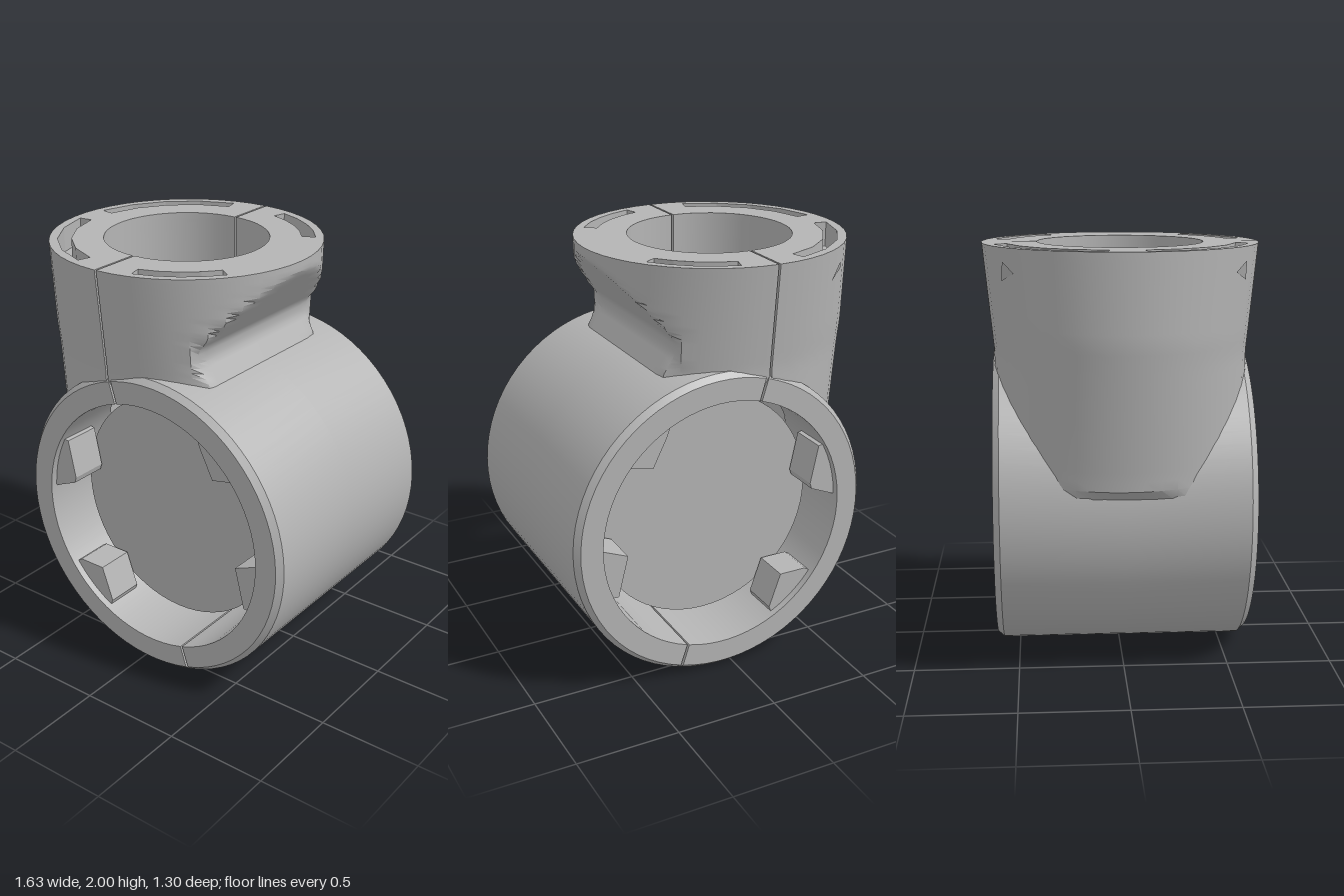
import * as THREE from 'three';
import { toCreasedNormals } from 'three/addons/utils/BufferGeometryUtils.js';

const CX = 0.055, CY = 0.757, R_OUT = 0.757, R_IN = 0.622; // horizontal sleeve
const SX = -0.172, BORE = 0.39, TOP = 2;                   // upright socket
const rad = THREE.MathUtils.degToRad, clamp = THREE.MathUtils.clamp;
const grey = new THREE.MeshStandardMaterial({ name: 'plainGrey', color: 0xb4b4b4, side: THREE.DoubleSide });

function mesh(name, geometry, parent) {
  const m = new THREE.Mesh(geometry, grey);
  m.name = name;
  parent.add(m);
  return m;
}

// Skin a list of equally long point rows
function loft(rows, crease = 35) {
  const n = rows[0].length, index = [];
  for (let i = 0; i < rows.length - 1; i++) {
    for (let j = 0; j < n - 1; j++) {
      const a = i * n + j, b = a + n;
      index.push(a, b, a + 1, b, b + 1, a + 1);
    }
  }
  const g = new THREE.BufferGeometry();
  g.setAttribute('position', new THREE.Float32BufferAttribute(rows.flat(2), 3));
  g.setIndex(index);
  return toCreasedNormals(g, rad(crease));
}

const steps = (from, to, n) => Array.from({ length: n + 1 }, (_, i) => from + (to - from) * i / n);
const sleeveY = (x, r) => CY + Math.sqrt(Math.max(0, r * r - (x - CX) ** 2));

// Cross-section of half the sleeve wall at one angle, leaving room for the bore
function sleeveSection(a, s) {
  const point = (r, z) => [CX + r * Math.cos(a), CY + r * Math.sin(a), s * z];
  const start = r => {
    const dx = CX + r * Math.cos(a) - SX;
    return Math.sin(a) > 0 ? Math.sqrt(Math.max(0, BORE * BORE - dx * dx)) : 0;
  };
  return [point(R_OUT, start(R_OUT)), point(R_OUT, 0.575), point(R_OUT - 0.025, 0.605),
    point(R_IN, 0.605), point(R_IN, start(R_IN))];
}

// Slanted undercut on the right of the socket
function undercut(y) {
  if (y > 1.64) return 0.23 + (y - 1.64) * 0.8;
  if (y > 1.58) return 0.23;
  return 0.23 + (1.58 - y) * 0.6;
}

function socketOuter(a, y, side) {
  const rz = 0.6 + 0.05 * clamp((y - 1.5) / 0.5, 0, 1);
  const rx = side < 0 ? 0.575 + 0.07 * clamp((y - 0.95) / 0.65, 0, 1) : 0.645;
  return [Math.min(SX + side * 0.005 + rx * Math.cos(a), undercut(y)), y, rz * Math.sin(a)];
}

// Column of the outer wall, ending just inside the sleeve
function outerColumn(a, side) {
  let end = 1.5;
  for (let i = 0; i < 6; i++) {
    end = Math.max(0.93, sleeveY(socketOuter(a, end, side)[0], R_OUT) - 0.03);
  }
  const column = steps(TOP, end, 24).map(y => socketOuter(a, y, side));
  const [x, y, z] = column[24];
  column.push([Math.max(x, -0.68), y - 0.06, z * 0.97]);
  return column;
}

function boreColumn(a, side) {
  const x = SX + side * 0.005 + BORE * Math.cos(a), z = BORE * Math.sin(a);
  return steps(TOP, sleeveY(x, R_IN), 25).map(y => [x, y, z]);
}

// Closed outline of a curved slot in the rim
function slotLoop(from, to) {
  const arc = (r, a, b) => steps(a, b, 4).map(d => [SX + r * Math.cos(rad(d)), r * Math.sin(rad(d))]);
  const loop = [...arc(0.61, from, to), ...arc(0.545, to, from)];
  return [...loop, loop[0]];
}

const outline = (points, Type = THREE.Shape) => new Type(points.map(([x, z]) => new THREE.Vector2(x, -z)));
const flat = (shape, y) => new THREE.ShapeGeometry(shape).rotateX(-Math.PI / 2).translate(0, y, 0);

function buildHalf(side) {
  const half = new THREE.Group();
  half.name = side > 0 ? 'leftClampHalf' : 'rightClampHalf';

  // Sleeve wall with its split faces
  const gap = 0.5;
  const angles = (side > 0 ? steps(-72 + gap, 106.5 - gap, 36) : steps(106.5 + gap, 288 - gap, 36)).map(rad);
  for (const s of [1, -1]) {
    mesh('sleeveWall', loft(angles.map(a => sleeveSection(a, s))), half);
    for (const a of [angles[0], angles[36]]) {
      const section = sleeveSection(a, s);
      mesh('sleeveSplitFace', loft([section, section.map(() => section[4])]), half);
    }
  }

  // Socket wall, bore and split faces
  const turn = steps(side > 0 ? -90 : 90, side > 0 ? 90 : 270, 24).map(rad);
  const outer = turn.map(a => outerColumn(a, side));
  const bore = turn.map(a => boreColumn(a, side));
  mesh('socketWall', loft(outer, 30), half);
  mesh('socketBore', loft(bore), half);
  for (const i of [0, 24]) mesh('socketSplitFace', loft([outer[i], bore[i]]), half);

  // Rim with two sunk slots
  const xz = column => [column[0][0], column[0][2]];
  const rim = outline([...outer.map(xz), ...bore.map(xz).reverse()]);
  const spans = side > 0 ? [[35, 75], [-75, -35]] : [[105, 172], [188, 255]];
  for (const [from, to] of spans) {
    const loop = slotLoop(from, to), floor = TOP - 0.12;
    rim.holes.push(outline(loop.slice(0, -1), THREE.Path));
    mesh('slotWall', loft([TOP, floor].map(y => loop.map(([x, z]) => [x, y, z])), 10), half);
    mesh('slotFloor', flat(outline(loop.slice(0, -1)), floor), half);
  }
  mesh('socketRim', flat(rim, TOP), half);
  return half;
}

export function createModel() {
  const model = new THREE.Group();
  model.name = 'pipeClamp';
  model.add(buildHalf(1), buildHalf(-1));

  // Solid core held inside the sleeve
  const core = mesh('core', new THREE.CylinderGeometry(0.567, 0.567, 0.73, 64), model);
  core.rotation.x = Math.PI / 2;
  core.position.set(0.045, 0.765, 0);

  // Wedge teeth inside both sleeve mouths
  const teeth = [
    [[0.3, 1.36], [0.34, 1.25], [0.41, 1.11], [0.55, 1.14], [0.58, 1.16]],
    [[-0.52, 1.06], [-0.47, 1.05], [-0.43, 0.86], [-0.44, 0.83], [-0.56, 0.78], [-0.6, 0.78]],
    [[0.69, 0.76], [0.66, 0.75], [0.54, 0.7], [0.59, 0.5], [0.65, 0.5]],
    [[-0.45, 0.38], [-0.42, 0.4], [-0.28, 0.4], [-0.22, 0.23], [-0.24, 0.18]],
  ];
  for (const points of teeth) {
    const shape = new THREE.Shape(points.map(p => new THREE.Vector2(...p)));
    for (const z of [0.38, -0.57]) {
      const g = new THREE.ExtrudeGeometry(shape, { depth: 0.19, bevelEnabled: false });
      mesh('tooth', g.translate(0, 0, z), model);
    }
  }

  // Small triangular nicks on the socket and under the sleeve
  for (const s of [1, -1]) {
    const nick = [[121, 1.85, 0.004], [130, 1.89, 0.004], [125, 1.94, 0.02]].map(([d, y, lift]) => {
      const [x, , z] = socketOuter(rad(d), y, -1), k = 1 + lift / 0.64;
      return [SX + (x - SX) * k, y, s * z * k];
    });
    mesh('socketNick', loft([nick, nick.map(() => nick[0])]), model);
    const under = [[-98, 0.24], [-92, 0.29], [-98, 0.34]].map(([d, z]) =>
      [CX + 0.758 * Math.cos(rad(d)), CY + 0.758 * Math.sin(rad(d)), s * z]);
    mesh('sleeveNick', loft([under, under.map(() => under[0])]), model);
  }
  return model;
}
